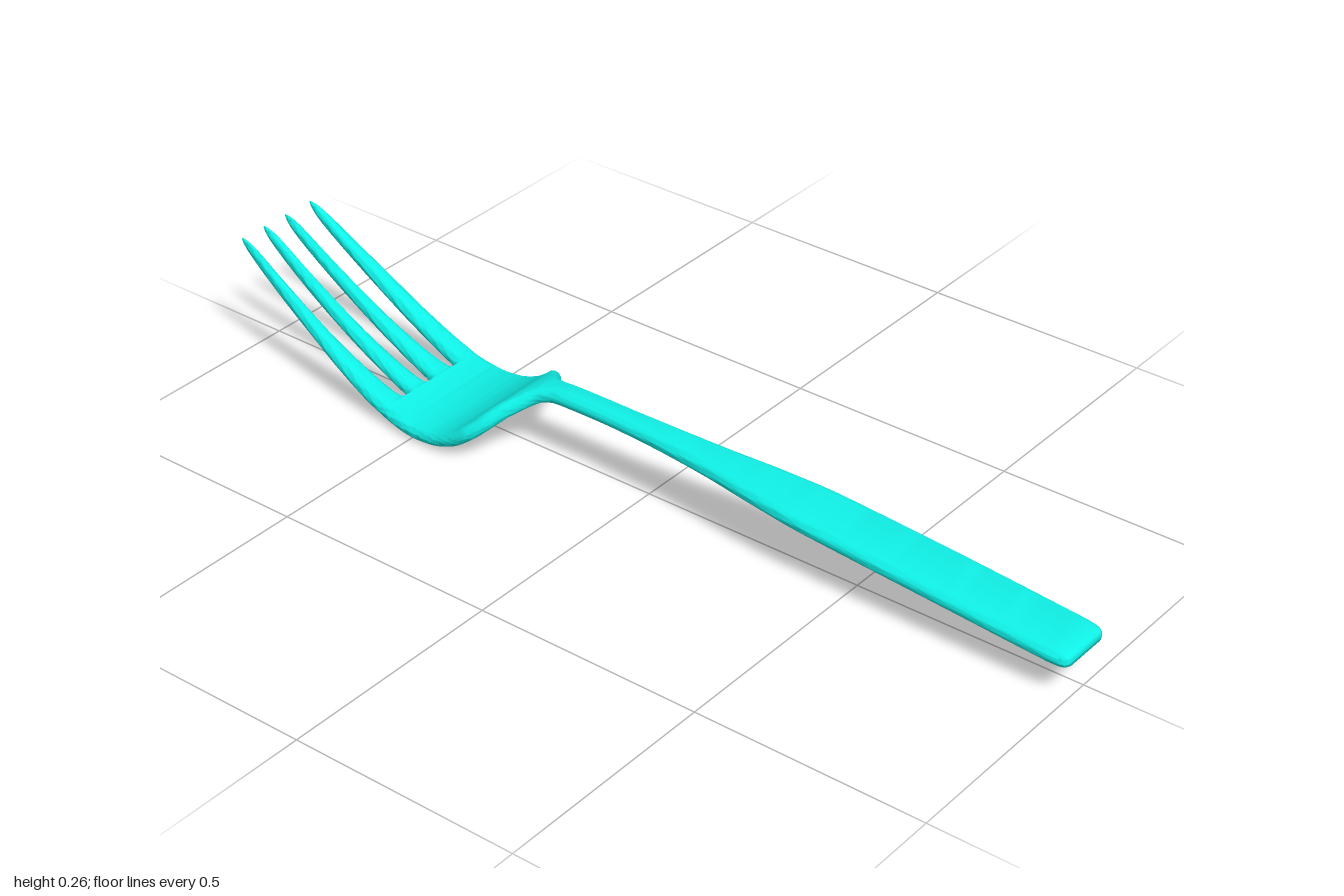
import * as THREE from 'three';
import { toCreasedNormals } from 'three/addons/utils/BufferGeometryUtils.js';

// Smooth curve through [position, value] pairs, without overshoot
function curve(points) {
  const p = [...points].sort((a, b) => a[0] - b[0]);
  const n = p.length;
  const d = p.slice(1).map((q, i) => (q[1] - p[i][1]) / (q[0] - p[i][0]));
  const m = p.map((_, i) => {
    if (i === 0) return d[0];
    if (i === n - 1) return d[n - 2];
    return d[i - 1] * d[i] <= 0 ? 0 : 2 * d[i - 1] * d[i] / (d[i - 1] + d[i]);
  });
  return (x) => {
    let i = 0;
    while (i < n - 2 && x > p[i + 1][0]) i++;
    const h = p[i + 1][0] - p[i][0];
    const t = Math.min(1, Math.max(0, (x - p[i][0]) / h));
    const s = t * t * (3 - 2 * t);
    return p[i][1] * (1 - s) + p[i + 1][1] * s
      + h * t * (1 - t) * (m[i] * (1 - t) - m[i + 1] * t);
  };
}

// Side profile: height of the fork's mid-surface along z
const height = curve([
  [1, 0.081], [0.6, 0.114], [0.2, 0.141], [0, 0.149], [-0.12, 0.151], [-0.2, 0.150],
  [-0.25, 0.144], [-0.3, 0.117], [-0.35, 0.071], [-0.4, 0.037], [-0.45, 0.021],
  [-0.49, 0.0175], [-0.55, 0.024], [-0.6, 0.038], [-0.7, 0.081], [-0.8, 0.135],
  [-0.9, 0.196], [-1, 0.264],
]);

// Rounded sections swept along the mid-surface; left/right/half are functions of z
function sweep(zs, left, right, half) {
  const sides = 32, pos = [], index = [];
  for (const z of zs) {
    const slope = (height(z + 0.004) - height(z - 0.004)) / 0.008;
    const len = Math.hypot(1, slope);
    const cx = (left(z) + right(z)) / 2, hw = (right(z) - left(z)) / 2, ht = half(z);
    const r = Math.min(hw, ht * 1.15);
    for (let j = 0; j < sides; j++) {
      const a = ((j + 0.5) / sides) * Math.PI * 2;
      const n = ht * Math.sin(a);
      pos.push(cx + Math.sign(Math.cos(a)) * (hw - r) + r * Math.cos(a),
        height(z) + n / len, z - n * slope / len);
    }
  }
  const rows = zs.length;
  for (let i = 0; i < rows - 1; i++) {
    for (let j = 0; j < sides; j++) {
      const a = i * sides + j, b = i * sides + (j + 1) % sides;
      index.push(a, a + sides, b, b, a + sides, b + sides);
    }
  }
  // End caps
  const last = (rows - 1) * sides;
  for (let j = 1; j < sides - 1; j++) {
    index.push(0, j, j + 1, last, last + j + 1, last + j);
  }
  const geo = new THREE.BufferGeometry();
  geo.setAttribute('position', new THREE.Float32BufferAttribute(pos, 3));
  geo.setIndex(index);
  return toCreasedNormals(geo, 0.9);
}

const range = (from, to, n) => Array.from({ length: n + 1 }, (_, i) => from + (to - from) * i / n);

export function createModel() {
  const group = new THREE.Group();
  group.name = 'fork';
  const material = new THREE.MeshStandardMaterial({ color: 0x10f0e6 });
  const add = (name, geo) => {
    const mesh = new THREE.Mesh(geo, material);
    mesh.name = name;
    group.add(mesh);
  };

  // Handle, neck and head in one sweep
  const root = -0.575;
  const halfWidth = curve([
    [1, 0.054], [0.995, 0.061], [0.985, 0.066], [0.96, 0.069], [0.7, 0.070], [0.42, 0.068],
    [0.3, 0.059], [0.15, 0.042], [0, 0.032], [-0.1, 0.029], [-0.22, 0.029], [-0.25, 0.036],
    [-0.275, 0.058], [-0.3, 0.088], [-0.33, 0.124], [-0.36, 0.144], [-0.4, 0.149],
    [-0.5, 0.147], [root, 0.1425],
  ]);
  const bodyThick = curve([[1, 0.008], [0.995, 0.0125], [0.98, 0.016], [0, 0.0165], [root, 0.016]]);
  const shift = curve([[1, -0.002], [-0.3, -0.001], [-0.5, 0], [root, 0.0035]]);
  const bodyZ = [1, 0.998, 0.995, 0.99, 0.985, 0.98, ...range(0.96, -0.2, 40), ...range(-0.21, root, 50)];
  add('handleAndHead', sweep(bodyZ,
    (z) => shift(z) - halfWidth(z), (z) => shift(z) + halfWidth(z), bodyThick));

  // Tines: left and right edges at each station, from root to tip
  const stations = [root, -0.583, -0.6, -0.7, -0.8, -0.9, -0.96, -0.988, -1];
  const tines = [
    [[-0.139, -0.138, -0.137, -0.126, -0.113, -0.102, -0.095, -0.091, -0.088],
      [-0.065, -0.074, -0.078, -0.081, -0.082, -0.081, -0.081, -0.083, -0.086]],
    [[-0.065, -0.057, -0.054, -0.048, -0.043, -0.037, -0.032, -0.028, -0.024],
      [0.004, -0.004, -0.007, -0.011, -0.013, -0.014, -0.015, -0.018, -0.022]],
    [[0.004, 0.013, 0.017, 0.023, 0.027, 0.030, 0.032, 0.036, 0.040],
      [0.080, 0.072, 0.069, 0.062, 0.057, 0.053, 0.050, 0.046, 0.042]],
    [[0.080, 0.088, 0.092, 0.099, 0.103, 0.105, 0.106, 0.110, 0.114],
      [0.146, 0.1465, 0.147, 0.146, 0.143, 0.135, 0.127, 0.121, 0.116]],
  ];
  const tineThick = curve([[root, 0.016], [-0.8, 0.0155], [-0.93, 0.0135], [-0.975, 0.0105], [-0.99, 0.007], [-1, 0.002]]);
  const tineZ = [root, -0.577, -0.58, -0.583, -0.588, -0.594, ...range(-0.6, -0.96, 24),
    -0.97, -0.98, -0.986, -0.991, -0.995, -0.998, -1];
  tines.forEach(([left, right], i) => {
    const edge = (xs) => curve(xs.map((x, k) => [stations[k], x]));
    add('tine' + (i + 1), sweep(tineZ, edge(left), edge(right), tineThick));
  });

  return group;
}
